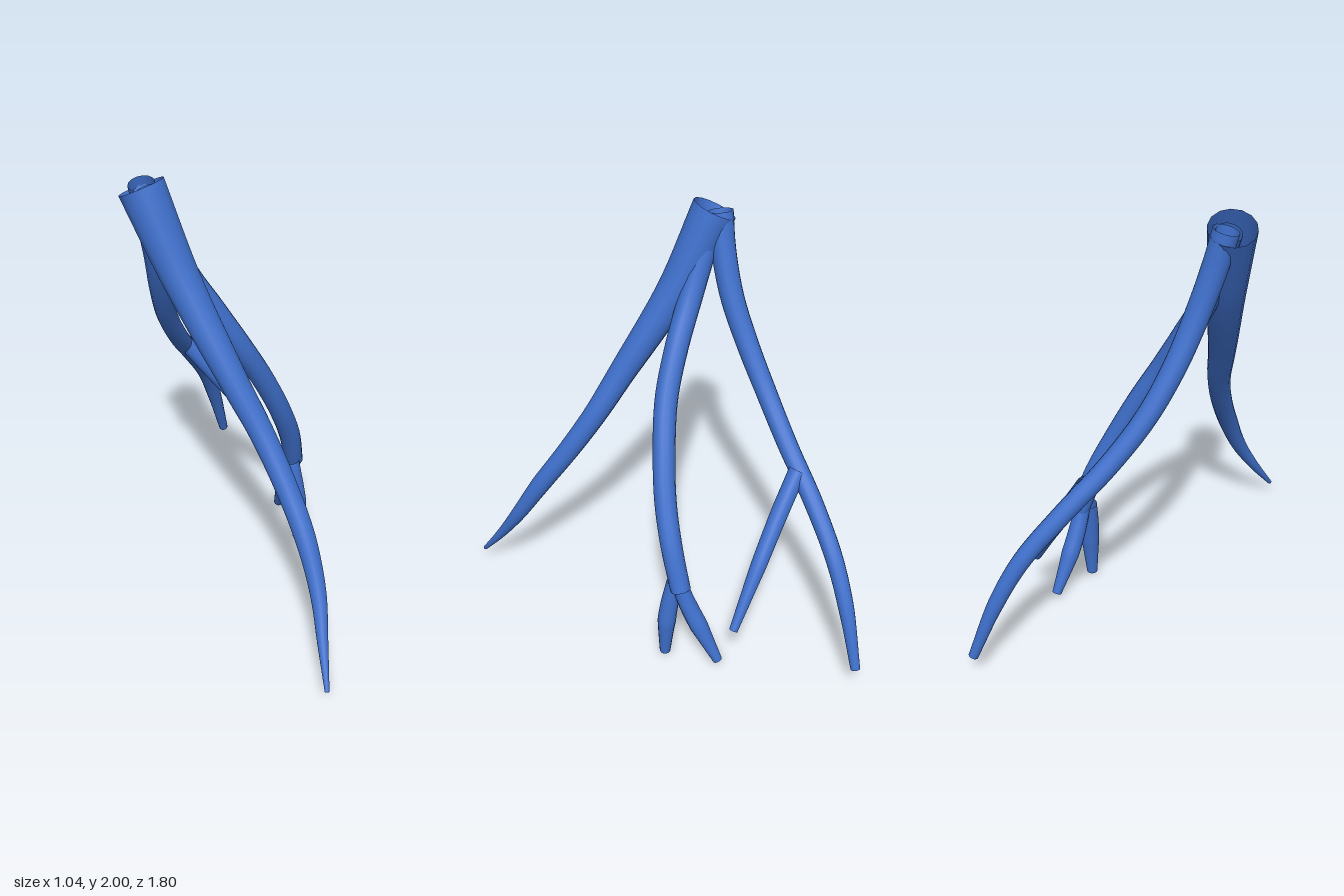
import * as THREE from 'three';
import { mergeVertices } from 'three/addons/utils/BufferGeometryUtils.js';

const SIDES = 14;

// Each row is x, y, z, radius, running from the crown to the tip.
const roots = {
  mainRoot: [
    [-0.43, 1.96, 0.25, 0.1], [-0.26, 1.6, 0.3, 0.081], [-0.02, 1.2, 0.385, 0.061],
    [0.105, 1.0, 0.425, 0.054], [0.225, 0.8, 0.49, 0.05], [0.335, 0.6, 0.575, 0.046],
    [0.415, 0.4, 0.67, 0.036], [0.465, 0.22, 0.785, 0.023], [0.51, 0.07, 0.895, 0.01],
  ],
  rearRoot: [
    [-0.44, 1.96, 0.22, 0.056], [-0.43, 1.8, 0.18, 0.055], [-0.43, 1.6, 0.11, 0.053],
    [-0.45, 1.4, 0.015, 0.05], [-0.47, 1.2, -0.11, 0.047], [-0.475, 1.0, -0.275, 0.045],
    [-0.475, 0.8, -0.475, 0.043], [-0.465, 0.6, -0.65, 0.04], [-0.455, 0.4, -0.765, 0.036],
    [-0.44, 0.12, -0.88, 0.022],
  ],
  rearBranch: [
    [-0.465, 0.92, -0.365, 0.042], [-0.34, 0.75, -0.4, 0.041],
    [-0.2, 0.55, -0.445, 0.037], [-0.03, 0.28, -0.495, 0.02],
  ],
  middleRoot: [
    [-0.42, 1.94, 0.24, 0.055], [-0.28, 1.6, 0.21, 0.054], [-0.17, 1.4, 0.16, 0.053],
    [-0.07, 1.2, 0.095, 0.052], [0.005, 1.0, 0.005, 0.051], [0.06, 0.8, -0.085, 0.05],
    [0.09, 0.6, -0.18, 0.049], [0.093, 0.41, -0.255, 0.046],
  ],
  forkBranchRear: [
    [0.09, 0.43, -0.24, 0.036], [0.065, 0.32, -0.275, 0.041],
    [0.035, 0.21, -0.32, 0.043], [-0.015, 0.03, -0.405, 0.022],
  ],
  forkBranchFront: [
    [0.095, 0.43, -0.208, 0.036], [0.115, 0.31, -0.2, 0.041],
    [0.13, 0.2, -0.197, 0.043], [0.135, 0.005, -0.19, 0.025],
  ],
};

// A tube whose rings are scaled to the tapering radius
function taperedTube(curve, radii, steps) {
  const geo = new THREE.TubeGeometry(curve, steps, 1, SIDES, false);
  const pos = geo.attributes.position;
  const v = new THREE.Vector3();
  for (let i = 0; i <= steps; i++) {
    const centre = curve.getPointAt(i / steps);
    const f = curve.getUtoTmapping(i / steps) * (radii.length - 1);
    const k = Math.min(Math.floor(f), radii.length - 2);
    const r = THREE.MathUtils.lerp(radii[k], radii[k + 1], f - k);
    for (let j = 0; j <= SIDES; j++) {
      const n = i * (SIDES + 1) + j;
      v.fromBufferAttribute(pos, n).sub(centre).multiplyScalar(r).add(centre);
      pos.setXYZ(n, v.x, v.y, v.z);
    }
  }
  geo.deleteAttribute('uv');
  geo.deleteAttribute('normal');
  const welded = mergeVertices(geo, 1e-5);
  welded.computeVertexNormals();
  return welded;
}

export function createModel() {
  const model = new THREE.Group();
  model.name = 'branchingRoots';
  const blue = new THREE.MeshStandardMaterial({ color: 0x3f70cc, side: THREE.DoubleSide });
  blue.name = 'blue';

  for (const [name, rows] of Object.entries(roots)) {
    const part = new THREE.Group();
    part.name = name;
    const curve = new THREE.CatmullRomCurve3(rows.map(([x, y, z]) => new THREE.Vector3(x, y, z)));
    const radii = rows.map((row) => row[3]);
    const tube = new THREE.Mesh(taperedTube(curve, radii, rows.length * 5), blue);
    tube.name = name + 'Tube';

    // Flat cap on the lower end; the crown stays open
    const cap = new THREE.Mesh(new THREE.CircleGeometry(radii[radii.length - 1], SIDES), blue);
    cap.name = name + 'Tip';
    cap.position.copy(curve.getPointAt(1));
    cap.lookAt(curve.getPointAt(1).add(curve.getTangentAt(1)));

    part.add(tube, cap);
    model.add(part);
  }
  return model;
}
